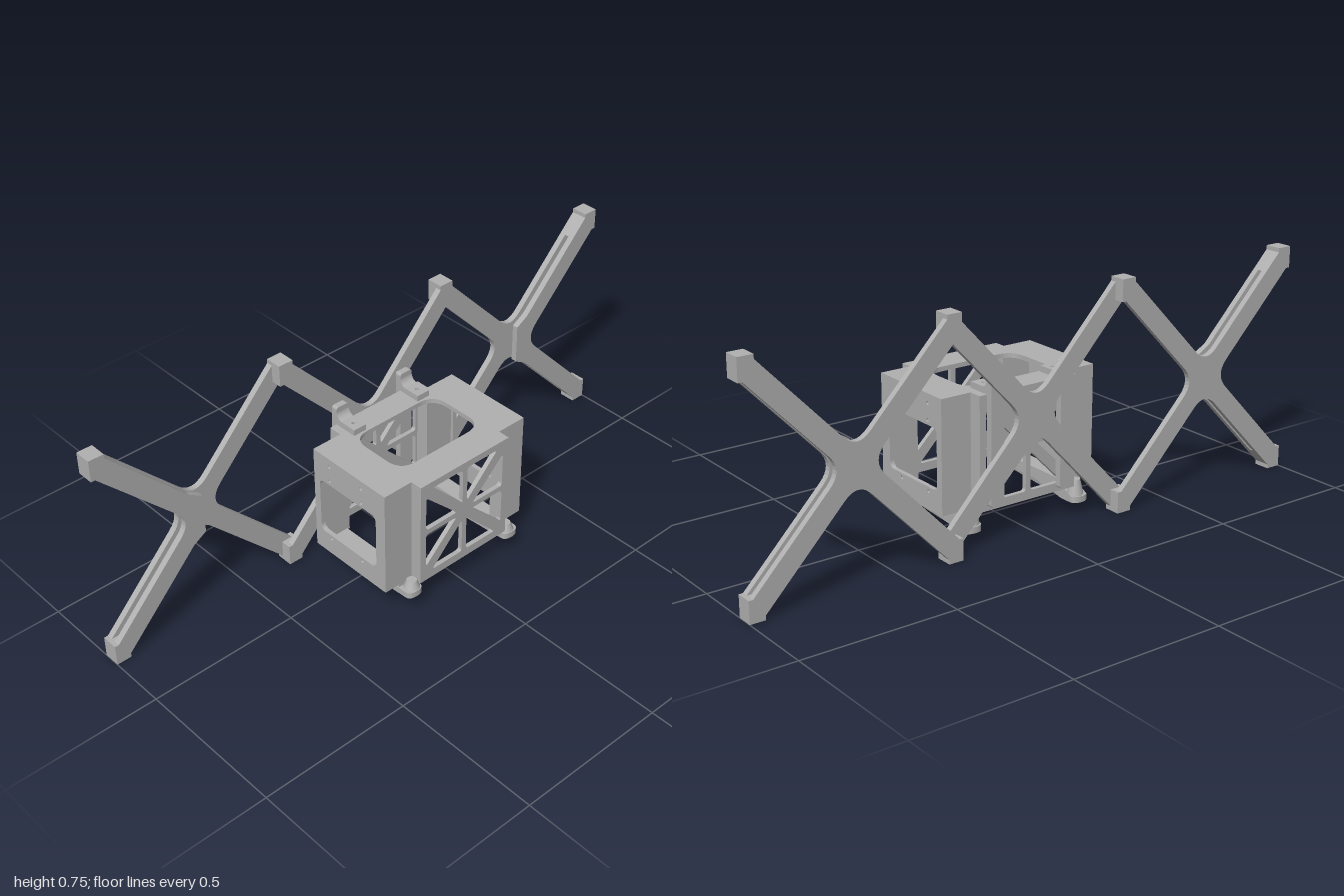
import * as THREE from 'three';

const grey = new THREE.MeshStandardMaterial({ color: 0xb0b0b0 });
grey.name = 'plain grey';

const V = (x, y) => new THREE.Vector2(x, y);

function add(parent, name, geometry, x = 0, y = 0, z = 0) {
  const mesh = new THREE.Mesh(geometry, grey);
  mesh.name = name;
  mesh.position.set(x, y, z);
  parent.add(mesh);
  return mesh;
}

// Box given by its limits
function block(parent, name, x0, x1, y0, y1, z0, z1) {
  return add(parent, name, new THREE.BoxGeometry(x1 - x0, y1 - y0, z1 - z0),
    (x0 + x1) / 2, (y0 + y1) / 2, (z0 + z1) / 2);
}

const extrude = (shape, depth) =>
  new THREE.ExtrudeGeometry(shape, { depth, bevelEnabled: false, curveSegments: 8 });

// Plate drawn in (z, y) and spanning x0..x1
function sidePlate(parent, name, shape, x0, x1, y = 0, z = 0) {
  return add(parent, name, extrude(shape, x1 - x0).rotateY(-Math.PI / 2), x1, y, z);
}

// Closed path through corners, each rounded by radius r
function rounded(points, r, Type = THREE.Path) {
  const path = new Type();
  points.forEach((p, i) => {
    const prev = points[(i + points.length - 1) % points.length];
    const next = points[(i + 1) % points.length];
    const a = p.clone().add(prev.clone().sub(p).setLength(r));
    const b = p.clone().add(next.clone().sub(p).setLength(r));
    if (i) path.lineTo(a.x, a.y); else path.moveTo(a.x, a.y);
    path.quadraticCurveTo(p.x, p.y, b.x, b.y);
  });
  path.closePath();
  return path;
}

const rect = (x0, x1, y0, y1) => [V(x0, y0), V(x1, y0), V(x1, y1), V(x0, y1)];
const hole = (x, y, r) => new THREE.Path().absarc(x, y, r, 0, Math.PI * 2, true);

// ---- Scissor linkage ----
const MID = 0.375, NODE = 0.34, END = 0.025, H = 0.047, FILLET = 0.045;

// Corners of one arm tip, counter-clockwise round the cross
function armTip(a, sx, sy) {
  const k = NODE / a;
  const tip = [V(a + END, k * (a + END) - H), V(a + END, MID), V(a - END, MID), V(a - END, k * (a - END) + H)]
    .map(p => V(p.x * sx, p.y * sy));
  return sx * sy > 0 ? tip : tip.reverse();
}

// Whole cross, with filleted waist
function crossShape(a) {
  const k = NODE / a, f = FILLET, s = new THREE.Shape();
  const waists = [
    [V(f, H + k * f), V(0, H), V(-f, H + k * f)],
    [V(-H / k - f, k * f), V(-H / k, 0), V(-H / k - f, -k * f)],
    [V(-f, -H - k * f), V(0, -H), V(f, -H - k * f)],
    [V(H / k + f, -k * f), V(H / k, 0), V(H / k + f, k * f)],
  ];
  [[1, 1], [-1, 1], [-1, -1], [1, -1]].forEach(([sx, sy], i) => {
    armTip(a, sx, sy).forEach((p, j) => (i + j ? s.lineTo(p.x, p.y) : s.moveTo(p.x, p.y)));
    const [p, c, q] = waists[i];
    s.lineTo(p.x, p.y);
    s.quadraticCurveTo(c.x, c.y, q.x, q.y);
    s.holes.push(hole(sx * a, sy * NODE, 0.007));
  });
  s.closePath();
  return s;
}

// Outer half of a cross; side is +1 or -1 along z
function forkShape(a, side) {
  const k = NODE / a, f = FILLET, s = new THREE.Shape();
  const put = p => s.lineTo(p.x * side, p.y);
  s.moveTo(0, -H - 0.02);
  put(V(f, -H - k * f));
  armTip(a, 1, -1).forEach(put);
  put(V(H / k + f, -k * f));
  s.quadraticCurveTo(side * H / k, 0, side * (H / k + f), k * f);
  armTip(a, 1, 1).forEach(put);
  put(V(f, H + k * f));
  s.lineTo(0, H + 0.02);
  s.closePath();
  return s;
}

function buildLinkage() {
  const g = new THREE.Group();
  g.name = 'scissorLinkage';
  const X0 = -0.245, X1 = -0.225, X2 = -0.21, X3 = -0.19;
  const a = 0.3275, inner = 0.32, centre = 0.6475, cut = 0.305;
  sidePlate(g, 'middleCross', crossShape(inner), X2, X3, MID, 0);
  for (const side of [1, -1]) {
    sidePlate(g, 'endCross', crossShape(a), X0, X1, MID, side * centre);
    sidePlate(g, 'forkPlate', forkShape(a, side), X2, X3, MID, side * centre);
    for (const sy of [1, -1]) {
      // hinge block where two crosses meet
      const y = MID + sy * 0.34, z = side * inner;
      block(g, 'hingeBlock', X0, X3, y - 0.035, y + 0.035, z - END, z + END);
      // solid tip closing the fork
      const u = (cut - H) * a / NODE;
      const tip = [V(u, cut), V(a + END, cut), V(a + END, MID), V(a - END, MID), V(a - END, NODE / a * (a - END) + H)]
        .map(p => V(p.x * side, p.y * sy));
      sidePlate(g, 'forkTip', new THREE.Shape(tip), X0, X3, MID, side * centre);
    }
  }
  return g;
}

// ---- Housing ----
const T = 0.015, BOT = 0.095, TOP = 0.46;
const XA = -0.17, XB = -0.125, XC = 0.19, XD = 0.23, ZA = 0.18, ZB = 0.285;

function frontPanel() {
  const s = new THREE.Shape(rect(XB, XC, BOT, TOP));
  s.holes.push(rounded(rect(-0.1, 0.15, 0.167, 0.362), 0.022));
  for (const x of [-0.055, 0.086]) for (const y of [0.43, 0.377, 0.153]) s.holes.push(hole(x, y, 0.006));
  return s;
}

// Side wall with eight triangular windows round a star of ribs
function latticePanel() {
  const s = new THREE.Shape(rect(-ZA, ZA, BOT, TOP));
  const w = 0.158, h = 0.157, cy = 0.28, r = 0.009;
  for (const sx of [1, -1]) for (const sy of [1, -1]) {
    const at = (x, y) => V(sx * x, cy + sy * y);
    s.holes.push(rounded([at(r, 0.032), at(r, h), at(w - 0.026, h)], 0.012));
    s.holes.push(rounded([at(0.032, r), at(w, r), at(w, h - 0.026)], 0.012));
  }
  return s;
}

function buildHousing() {
  const g = new THREE.Group();
  g.name = 'housing';

  // top plate: plus-shaped outline with a rounded opening
  const top = new THREE.Shape([
    V(XB, -ZB), V(XC, -ZB), V(XC, -ZA), V(XD, -ZA), V(XD, ZA), V(XC, ZA),
    V(XC, ZB), V(XB, ZB), V(XB, ZA), V(XA, ZA), V(XA, -ZA), V(XB, -ZA)]);
  top.holes.push(rounded(rect(-0.083, 0.128, -0.165, 0.165), 0.06));
  add(g, 'topPlate', extrude(top, T).rotateX(-Math.PI / 2), 0, TOP - T, 0);

  add(g, 'frontPanel', extrude(frontPanel(), T), 0, 0, ZB - T);
  add(g, 'backPanel', extrude(frontPanel(), T), 0, 0, -ZB);
  sidePlate(g, 'leftLattice', latticePanel(), XD - T, XD);
  sidePlate(g, 'rightLattice', latticePanel(), XA, XA + T);

  for (const s of [1, -1]) {
    // walls joining the front and back panels to the lattices
    const z0 = Math.min(s * (ZA - T), s * ZB), z1 = Math.max(s * (ZA - T), s * ZB);
    block(g, 'cornerWall', XB, XB + T, BOT, TOP, z0, z1);
    block(g, 'cornerWall', XC - T, XC, BOT, TOP, z0, z1);
    const zc = s * (ZA - T / 2);
    block(g, 'cornerReturn', XA, XB + T, BOT, TOP, zc - T / 2, zc + T / 2);
    block(g, 'cornerReturn', XC - T, XD, BOT, TOP, zc - T / 2, zc + T / 2);
  }
  return g;
}

// Foot rail: rounded bar whose underside ramps down towards the linkage
function footRail() {
  const r = 0.022, w = 0.03, s = new THREE.Shape();
  s.moveTo(-0.18 + r, -w);
  for (const x of [-0.115, 0.02, 0.24 - r]) s.lineTo(x, -w);
  s.quadraticCurveTo(0.24, -w, 0.24, 0);
  s.quadraticCurveTo(0.24, w, 0.24 - r, w);
  for (const x of [0.02, -0.115, -0.18 + r]) s.lineTo(x, w);
  s.quadraticCurveTo(-0.18, w, -0.18, 0);
  s.quadraticCurveTo(-0.18, -w, -0.18 + r, -w);
  const geo = extrude(s, 0.02).rotateX(-Math.PI / 2);
  const p = geo.attributes.position;
  for (let i = 0; i < p.count; i++) {
    const x = p.getX(i), ramp = THREE.MathUtils.clamp((0.02 - x) / 0.135, 0, 1);
    if (p.getY(i) < 0.01) p.setY(i, -0.025 * ramp);
    else if (x < -0.14) p.setY(i, -0.005);
  }
  geo.computeVertexNormals();
  return geo;
}

function buildFeetAndClips() {
  const g = new THREE.Group();
  g.name = 'mounts';
  for (const s of [1, -1]) {
    add(g, 'footRail', footRail(), 0, 0.065, s * 0.203);
    add(g, 'footFlare', new THREE.CylinderGeometry(0.016, 0.027, 0.05, 20), -0.15, 0.085, s * 0.2);
    add(g, 'footFlare', new THREE.CylinderGeometry(0.016, 0.027, 0.027, 20), 0.212, 0.097, s * 0.2);
    // rail is tied to the housing by a short web
    block(g, 'railWeb', XB, XC, 0.08, 0.1, s * 0.203 - 0.028, s * 0.203 + 0.028);

    // clip: upright strap with a tab over the top plate
    const z = s * 0.13, d = 0.024;
    sidePlate(g, 'clipStrap', rounded(rect(z - d, z + d, 0.11, 0.52), 0.01, THREE.Shape), -0.192, -0.169);
    const tab = new THREE.Shape([V(-0.17, -d), V(-0.09, -d), V(-0.09, d), V(-0.17, d)]);
    tab.holes.push(hole(-0.12, 0, 0.006));
    add(g, 'clipTab', extrude(tab, 0.02).rotateX(-Math.PI / 2), 0, TOP, z);
    // fillet between strap and tab
    const web = new THREE.Shape();
    web.moveTo(-0.172, 0.479);
    web.lineTo(-0.145, 0.479);
    web.quadraticCurveTo(-0.168, 0.482, -0.17, 0.508);
    web.closePath();
    add(g, 'clipFillet', extrude(web, 2 * d), 0, 0, z - d);
  }
  return g;
}

export function createModel() {
  const model = new THREE.Group();
  model.name = 'scissorBracket';
  model.add(buildLinkage(), buildHousing(), buildFeetAndClips());
  return model;
}
